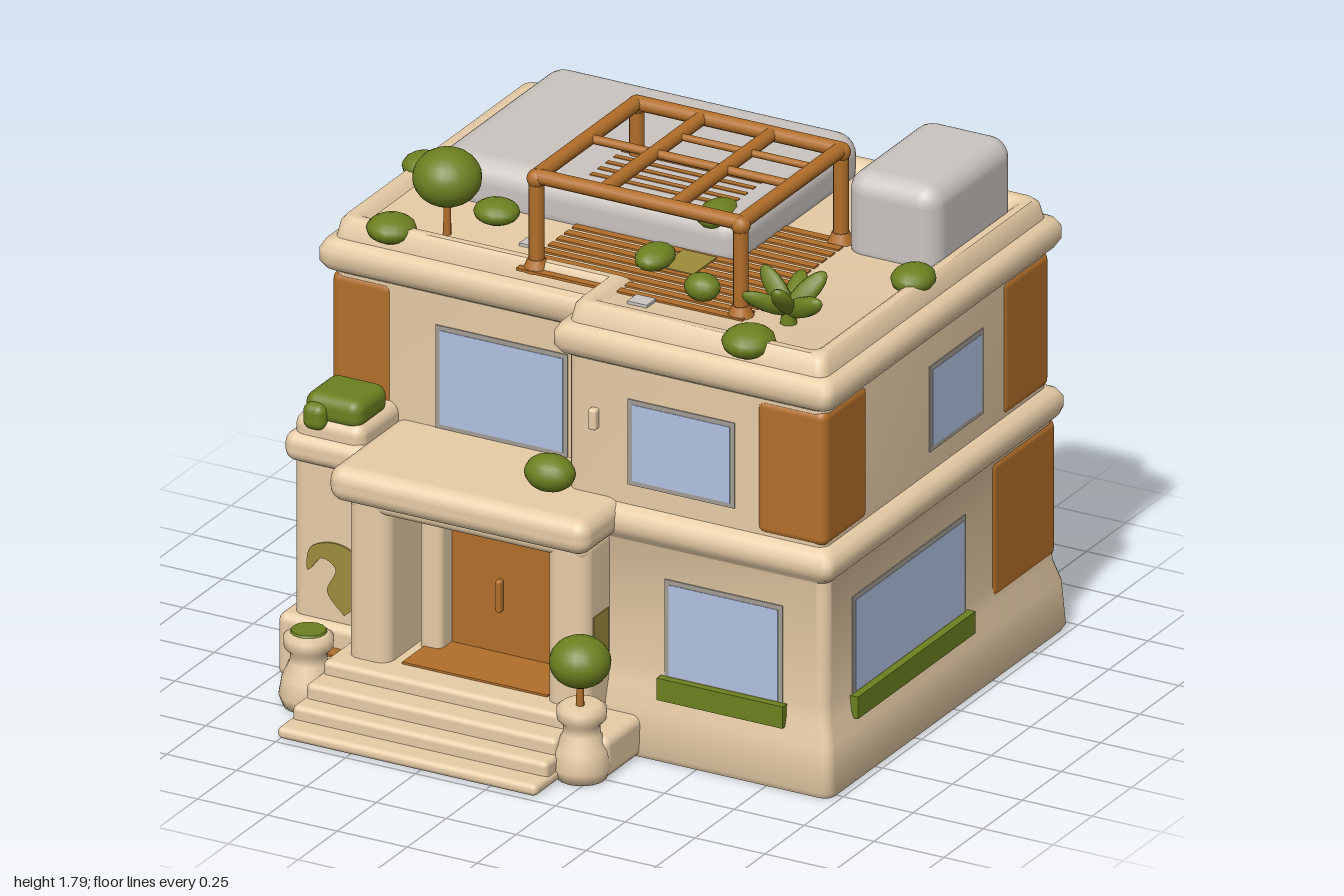
import * as THREE from 'three';
import { toCreasedNormals } from 'three/addons/utils/BufferGeometryUtils.js';
import { RoundedBoxGeometry } from 'three/addons/geometries/RoundedBoxGeometry.js';

const paint = (name, color) => {
  const m = new THREE.MeshStandardMaterial({ color });
  m.name = name;
  return m;
};

export function createModel() {
  const root = new THREE.Group();
  const plaster = paint('plaster', 0xe9cea8), wood = paint('wood', 0xb26f2a);
  const leaf = paint('leaf', 0x6c8020), glass = paint('glass', 0xb1c1e2);
  const grey = paint('greyRoof', 0xcac4c0), trim = paint('windowTrim', 0xa39d94);
  const olive = paint('dryVine', 0x9c8c3c);

  const add = (name, geo, mat, x = 0, y = 0, z = 0) => {
    const m = new THREE.Mesh(geo, mat);
    m.name = name;
    m.position.set(x, y, z);
    root.add(m);
    return m;
  };
  // box given by its spans, with optional rounding
  const box = (name, mat, x0, x1, y0, y1, z0, z1, r = 0) => {
    const w = x1 - x0, h = y1 - y0, d = z1 - z0;
    const g = r ? new RoundedBoxGeometry(w, h, d, 3, r) : new THREE.BoxGeometry(w, h, d);
    return add(name, g, mat, (x0 + x1) / 2, (y0 + y1) / 2, (z0 + z1) / 2);
  };

  // L-shaped outline pushed outward by o, with rounded outer corners
  const corners = [[-0.95, 0.32, -1, 1], [0, 0.32, 0, 0], [0, 0.52, -1, 1],
    [0.95, 0.52, 1, 1], [0.95, -0.94, 1, -1], [-0.95, -0.94, -1, -1]];
  const outline = (o) => corners.flatMap(([x, z, sx, sz]) => {
    if (!sx) return [[x - o, z + o]];
    const r = 0.035, start = Math.atan2(sz, sx) + Math.PI / 4;
    return [0, 1, 2, 3, 4].map((k) => {
      const a = start - (k * Math.PI) / 8;
      return [x + sx * (o - r) + r * Math.cos(a), z + sz * (o - r) + r * Math.sin(a)];
    });
  });

  // walls, floor band, cornice, parapet and roof deck as one stacked profile: [height, offset]
  const profile = [[0, 0.025], [0.02, 0.035], [0.17, 0.025], [0.24, 0.005], [0.3, 0], [0.72, 0],
    [0.74, 0.02], [0.765, 0.03], [0.795, 0.03], [0.82, 0.015], [0.835, -0.015], [1.3, -0.015],
    [1.315, 0.01], [1.34, 0.025], [1.38, 0.025], [1.405, 0.01], [1.415, -0.015], [1.465, -0.025],
    [1.482, -0.04], [1.482, -0.065], [1.472, -0.08], [1.455, -0.095]];
  const pos = [];
  const rings = profile.map(([y, o]) => outline(o).map(([x, z]) => [x, y, z]));
  const n = rings[0].length;
  for (let j = 0; j < rings.length - 1; j++) {
    for (let i = 0; i < n; i++) {
      const k = (i + 1) % n;
      const a = rings[j][i], b = rings[j][k], c = rings[j + 1][k], d = rings[j + 1][i];
      pos.push(...a, ...b, ...c, ...a, ...c, ...d);
    }
  }
  const cap = (ring, flip) => {
    const flat = ring.map((p) => new THREE.Vector2(p[0], -p[2]));
    for (const f of THREE.ShapeUtils.triangulateShape(flat, [])) {
      for (const i of flip ? [f[0], f[2], f[1]] : f) pos.push(...ring[i]);
    }
  };
  cap(rings[0], true);
  cap(rings[rings.length - 1], false);
  const shell = new THREE.BufferGeometry();
  shell.setAttribute('position', new THREE.Float32BufferAttribute(pos, 3));
  shell.computeVertexNormals();
  add('houseShell', toCreasedNormals(shell, 0.8), plaster);

  // left wing beside the entrance
  box('wing', plaster, -0.95, -0.7, 0, 0.9, 0.15, 0.54, 0.04);
  box('wingBand', plaster, -0.975, -0.68, 0.74, 0.84, 0.15, 0.565, 0.04);
  box('wingBase', plaster, -0.99, -0.7, 0, 0.22, 0.15, 0.57, 0.03);

  // porch: slab roof, columns, entrance wall and door surround
  box('porchRoof', plaster, -0.72, 0.21, 0.725, 0.845, 0.2, 0.74, 0.05);
  box('porchCeiling', plaster, -0.68, 0.17, 0.68, 0.76, 0.25, 0.67, 0.03);
  for (const x of [-0.61, 0.1]) {
    box('porchColumn', plaster, x - 0.075, x + 0.075, 0.1, 0.75, 0.3, 0.67, 0.045);
  }
  box('entranceWall', plaster, -0.6, 0.1, 0.1, 0.74, 0.25, 0.42);
  for (const x of [-0.48, 0]) box('doorJamb', plaster, x - 0.04, x + 0.04, 0.15, 0.69, 0.35, 0.5, 0.025);
  box('doorLintel', plaster, -0.52, 0.04, 0.63, 0.71, 0.35, 0.5, 0.025);
  box('door', wood, -0.44, -0.04, 0.18, 0.635, 0.4, 0.428);
  box('doorHandle', wood, -0.275, -0.255, 0.33, 0.44, 0.42, 0.45, 0.008);
  box('doorMat', wood, -0.5, 0.02, 0.175, 0.187, 0.42, 0.64);

  // entrance platform and steps
  [[0.18, 0.74], [0.135, 0.83], [0.085, 0.9], [0.04, 0.98]].forEach(([h, z], i) =>
    box('step' + (i + 1), plaster, -0.73 - i * 0.01, 0.15 + i * 0.006, 0, h, 0.25, z, 0.018));

  // pots in front of the porch
  const potProfile = [[0, 0], [0.08, 0], [0.095, 0.04], [0.085, 0.1], [0.06, 0.15], [0.058, 0.18],
    [0.078, 0.2], [0.08, 0.235], [0.06, 0.25], [0, 0.245]].map(([r, y]) => new THREE.Vector2(r, y));
  for (const [x, z] of [[-0.8, 0.7], [0.21, 0.76]]) {
    add('pot', new THREE.LatheGeometry(potProfile, 20), plaster, x, 0, z);
    box('potPlinth', plaster, x - 0.09, x + 0.09, 0, 0.14, 0.45, z, 0.03);
  }
  add('potPlanting', new THREE.CylinderGeometry(0.055, 0.065, 0.02, 16), leaf, -0.8, 0.247, 0.7);
  box('plinthBoard', wood, -0.86, -0.74, 0.137, 0.146, 0.57, 0.625);

  // wooden corner cladding, standing just proud of the walls
  const e = 0.941, back = -0.931;
  [[-e, -0.72, 0.835, 1.3, 0.04, 0.311], [0.69, e, 0.835, 1.3, 0.23, 0.511],
    [-e, -0.69, 0.835, 1.3, back, -0.72], [0.74, e, 0.835, 1.3, back, -0.63],
    [-0.956, -0.69, 0.25, 0.725, -0.946, -0.55], [0.68, 0.956, 0.25, 0.725, -0.946, -0.53],
  ].forEach((s) => box('cornerCladding', wood, ...s, 0.03));

  // windows: side, wall plane, span along the wall, height span
  const plate = (name, mat, side, w, u0, u1, y0, y1, t) => {
    const a = w - t, b = w + t;
    if (side === 'x') box(name, mat, a, b, y0, y1, u0, u1);
    else box(name, mat, u0, u1, y0, y1, a, b);
  };
  const windows = [['z', 0.305, -0.56, -0.1, 0.85, 1.19], ['z', 0.505, 0.24, 0.61, 0.91, 1.19],
    ['z', 0.52, 0.38, 0.79, 0.28, 0.61, true]];
  for (const [w, y0, y1] of [[-0.925, 0.91, 1.19], [-0.94, 0.28, 0.61]]) {
    windows.push(['z', w, 0.25, 0.6, y0, y1], ['z', w, -0.59, -0.09, y0, y1]);
  }
  for (const s of [1, -1]) {
    windows.push(['x', s * 0.935, -0.5, -0.17, 0.91, 1.19], ['x', s * 0.95, -0.36, 0.35, 0.28, 0.61, true]);
  }
  for (const [side, w, u0, u1, y0, y1, planter] of windows) {
    plate('windowTrim', trim, side, w, u0 - 0.006, u1 + 0.006, y0 - 0.006, y1 + 0.006, 0.004);
    plate('windowGlass', glass, side, w, u0 + 0.01, u1 - 0.01, y0 + 0.01, y1 - 0.01, 0.006);
    if (planter) plate('windowPlanter', leaf, side, w, u0 - 0.02, u1 + 0.02, 0.21, 0.285, 0.03);
  }
  box('wallLamp', plaster, 0.1, 0.13, 1.07, 1.14, 0.49, 0.53, 0.008);

  // rooftop volumes
  box('roofSlab', grey, -0.8, 0.31, 1.4, 1.595, -0.87, -0.06, 0.075);
  box('roofBox', grey, 0.55, 0.88, 1.4, 1.725, -0.82, -0.3, 0.07);
  box('roofVent', grey, -0.35, -0.29, 1.45, 1.465, 0.11, 0.16);
  box('roofVent', grey, 0.16, 0.23, 1.45, 1.465, 0.32, 0.38);

  // pergola with slatted deck, the rear slats lying on the roof slab
  for (let i = 0; i < 14; i++) {
    const z = -0.37 + i * 0.051;
    box('deckSlat', wood, -0.27, 0.54, 1.452, 1.461, z, z + 0.03);
    if (z < -0.15) box('slabSlat', wood, -0.27, 0.23, 1.592, 1.598, z, z + 0.02);
  }
  const beam = (a, b, r) => {
    const p = new THREE.Vector3(...a), q = new THREE.Vector3(...b), d = q.clone().sub(p);
    const m = add('pergolaBeam', new THREE.CylinderGeometry(r, r, d.length(), 10), wood);
    m.position.copy(p).add(q).multiplyScalar(0.5);
    m.quaternion.setFromUnitVectors(new THREE.Vector3(0, 1, 0), d.normalize());
  };
  const X0 = -0.22, X1 = 0.51, Z0 = -0.36, Z1 = 0.28, T = 1.77;
  for (const x of [X0, X1]) {
    beam([x, T, Z0], [x, T, Z1], 0.025);
    for (const z of [Z0, Z1]) {
      beam([x, 1.45, z], [x, T, z], 0.025);
      add('pergolaJoint', new THREE.SphereGeometry(0.032, 12, 8), wood, x, T - 0.008, z);
      add('postFoot', new THREE.CylinderGeometry(0.028, 0.045, 0.04, 12), wood, x, 1.47, z);
    }
  }
  for (const z of [Z0, Z1]) beam([X0, T, z], [X1, T, z], 0.025);
  for (const x of [0.015, 0.265]) beam([x, T, Z0], [x, T, Z1], 0.023);
  beam([X0, T, -0.05], [X1, T, -0.05], 0.015);
  beam([0.015, T, -0.2], [X1, T, -0.2], 0.012);

  // ball trees
  for (const [x, y, z, r, y0] of [[-0.59, 1.65, 0.19, 0.11, 1.44], [0.21, 0.395, 0.77, 0.098, 0.23]]) {
    add('treeCrown', new THREE.SphereGeometry(r, 20, 14), leaf, x, y, z).scale.y = 0.85;
    add('treeTrunk', new THREE.CylinderGeometry(0.01, 0.014, y - y0, 8), wood, x, (y + y0) / 2, z);
  }

  // shrubs, including those hanging over the parapet: centre and half sizes
  [[-0.48, 1.51, 0.07, 0.075, 0.04, 0.07], [-0.75, 1.468, 0.26, 0.08, 0.045, 0.08],
    [-0.01, 0.915, 0.57, 0.085, 0.06, 0.07], [0.64, 1.465, 0.46, 0.085, 0.05, 0.09],
    [0.12, 1.51, 0.13, 0.06, 0.04, 0.08], [0.2, 1.575, -0.13, 0.06, 0.04, 0.09],
    [0.35, 1.5, 0.24, 0.06, 0.045, 0.05], [-0.88, 1.48, -0.18, 0.07, 0.045, 0.07],
    [0.87, 1.48, -0.18, 0.07, 0.045, 0.08],
  ].forEach(([x, y, z, a, b, c]) => add('shrub', new THREE.SphereGeometry(1, 14, 10), leaf, x, y, z).scale.set(a, b, c));
  box('wingShrub', leaf, -0.92, -0.715, 0.875, 0.975, 0.33, 0.53, 0.04);
  box('wingShrubTrail', leaf, -0.91, -0.83, 0.86, 0.95, 0.46, 0.56, 0.03);
  box('deckMoss', olive, 0.12, 0.24, 1.455, 1.464, -0.05, 0.1);

  // broad leaves of the roof plant, fanning up and out
  for (let i = 0; i < 6; i++) {
    const a = (i / 6) * Math.PI * 2 + 0.3, rise = 0.5 + 0.45 * (i % 2);
    const dir = new THREE.Vector3(Math.cos(a), rise, Math.sin(a)).normalize();
    const blade = add('plantLeaf', new THREE.SphereGeometry(1, 10, 8), leaf,
      0.67 + dir.x * 0.075, 1.49 + dir.y * 0.09, 0.26 + dir.z * 0.08);
    blade.scale.set(0.036, 0.09, 0.026);
    blade.quaternion.setFromUnitVectors(new THREE.Vector3(0, 1, 0), dir);
  }
  add('plantStem', new THREE.CylinderGeometry(0.02, 0.03, 0.08, 8), leaf, 0.67, 1.48, 0.26);

  // dry vines on the wing and on the outer side of the porch column
  const vine = new THREE.Shape();
  vine.moveTo(-0.76, 0.25);
  vine.splineThru([[-0.72, 0.3], [-0.715, 0.45], [-0.79, 0.49], [-0.88, 0.46], [-0.89, 0.38],
    [-0.84, 0.43], [-0.79, 0.4], [-0.82, 0.32], [-0.76, 0.25]].map((p) => new THREE.Vector2(...p)));
  add('wingVine', new THREE.ExtrudeGeometry(vine, { depth: 0.008, bevelEnabled: false }), olive, 0, 0, 0.538);
  box('porchVine', olive, 0.17, 0.179, 0.28, 0.48, 0.53, 0.625);

  return root;
}
